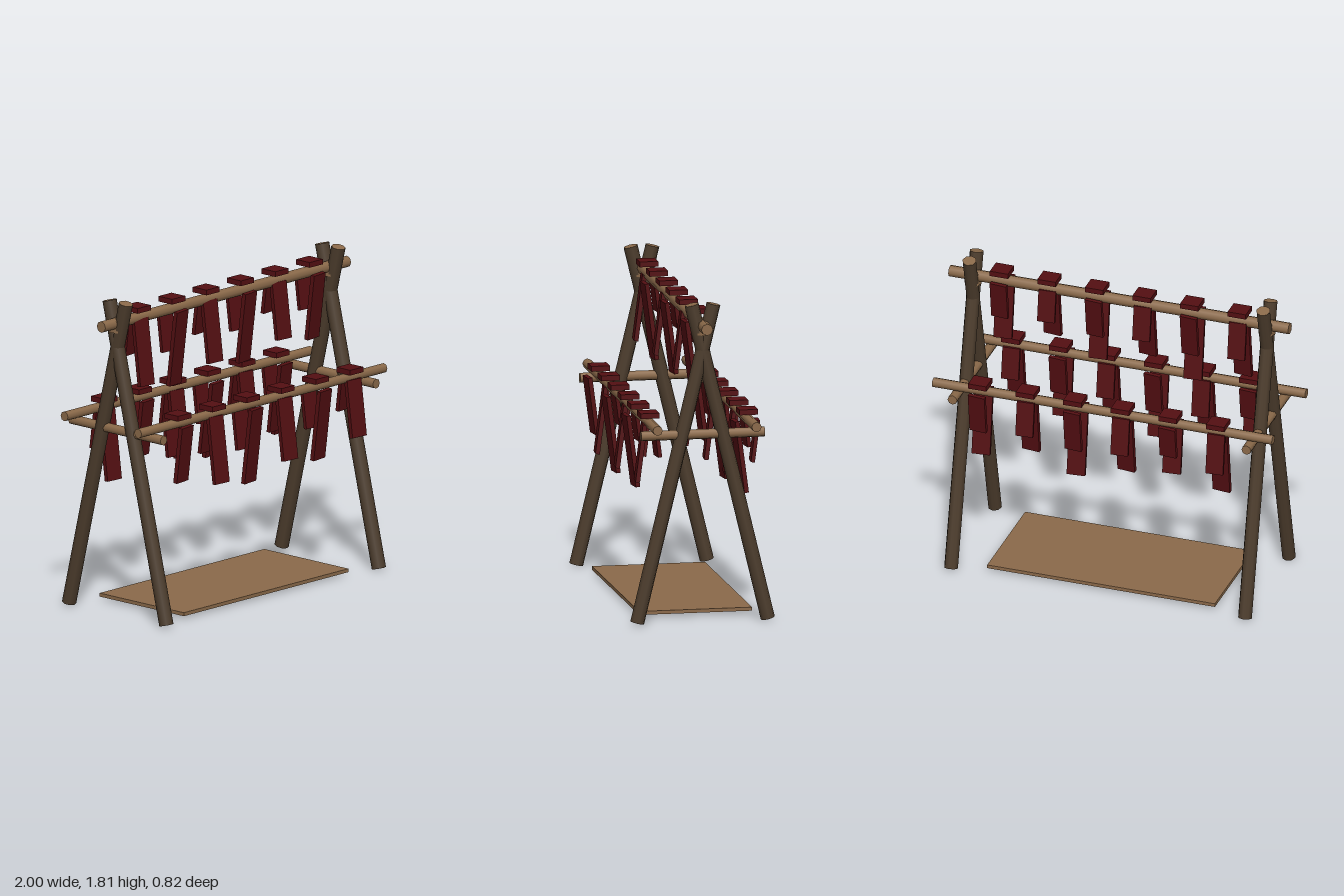
import * as THREE from 'three';

const mat = (name, color) => Object.assign(new THREE.MeshStandardMaterial({ color }), { name });

export function createModel() {
  const bark = mat('bark', 0x4d3d2d);
  const wood = mat('cut wood', 0x8b6a4a);
  const meat = mat('dried meat', 0x540f12);
  const root = new THREE.Group();
  root.name = 'dryingRack';

  // Round pole between two points
  const pole = (name, a, b, radius, material) => {
    const from = new THREE.Vector3(...a), to = new THREE.Vector3(...b);
    const dir = to.clone().sub(from);
    const mesh = new THREE.Mesh(new THREE.CylinderGeometry(radius, radius, dir.length(), 8), material);
    mesh.position.copy(from).add(to).multiplyScalar(0.5);
    mesh.quaternion.setFromUnitVectors(new THREE.Vector3(0, 1, 0), dir.normalize());
    mesh.name = name;
    root.add(mesh);
  };

  const box = (name, w, h, d, material, parent) => {
    const mesh = new THREE.Mesh(new THREE.BoxGeometry(w, h, d), material);
    mesh.name = name;
    parent.add(mesh);
    return mesh;
  };

  // Crossed legs, lashing and crossbar at each end
  for (const x of [-0.865, 0.865]) {
    for (const s of [-1, 1]) {
      pole('leg', [x, 0.01, 0.37 * s], [x, 1.8, -0.062 * s], 0.04, [bark, wood, wood]);
    }
    pole('lashing', [x, 1.63, 0], [x, 1.7, 0], 0.05, wood);
    pole('crossbar', [x, 1.065, -0.35], [x, 1.065, 0.35], 0.028, wood);
  }

  // Ground board
  box('groundBoard', 1.34, 0.02, 0.64, wood, root).position.y = 0.025;

  // Hanging rails, each with six folded strips
  const rails = [
    { name: 'ridgeRail', y: 1.68, z: 0, r: 0.033, x0: -0.705, step: 2, parity: 1, cap: 1.735, top: 1.68 },
    { name: 'frontRail', y: 1.118, z: 0.28, r: 0.028, x0: -0.675, step: 0, parity: 0, cap: 1.16, top: 1.11 },
    { name: 'backRail', y: 1.118, z: -0.28, r: 0.028, x0: -0.675, step: 3, parity: 1, cap: 1.16, top: 1.11 },
  ];
  for (const rail of rails) {
    pole(rail.name, [-1, rail.y, rail.z], [1, rail.y, rail.z], rail.r, wood);
    for (let i = 0; i < 6; i++) {
      const strip = new THREE.Group();
      strip.name = 'meatStrip';
      strip.position.set(rail.x0 + i * 0.28, 0, rail.z);
      root.add(strip);

      const length = 0.325 + 0.0275 * ((2 * i + rail.step) % 5);
      const sway = (i + rail.parity) % 2 ? -1 : 1;
      box('stripFold', 0.107, 0.03, 0.105, meat, strip).position.y = rail.cap;

      // Long flap in front, short flap behind
      const front = box('longFlap', 0.105, length, 0.025, meat, strip);
      front.position.set(0, rail.top - length / 2, 0.043);
      front.rotation.set(0.13 * sway, 0.1 * sway, 0);

      const shortLength = length * 0.58;
      const back = box('shortFlap', 0.1, shortLength, 0.022, meat, strip);
      back.position.set(0, rail.top - shortLength / 2, -0.043);
      back.rotation.set(-0.13 * sway, -0.08 * sway, 0);
    }
  }
  return root;
}
